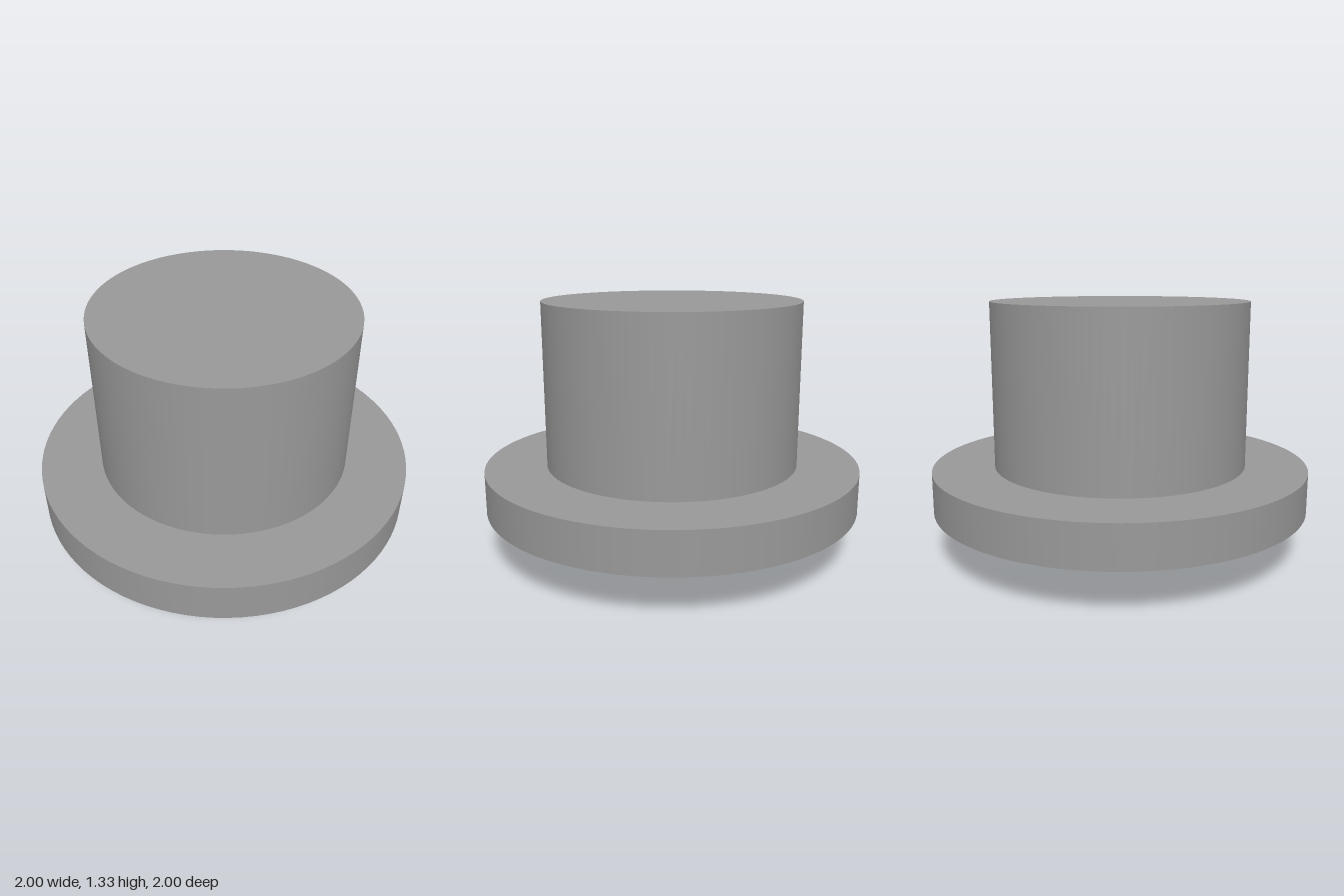
import * as THREE from 'three';

export function createModel() {
  const model = new THREE.Group();
  model.name = 'flangedPlug';

  const grey = new THREE.MeshStandardMaterial({ color: 0x999999 });
  grey.name = 'plain grey';

  // One solid disc of the turned part, between two heights
  const disc = (name, radius, bottom, top) => {
    const geometry = new THREE.CylinderGeometry(radius, radius, top - bottom, 96);
    const mesh = new THREE.Mesh(geometry, grey);
    mesh.name = name;
    mesh.position.y = (bottom + top) / 2;
    model.add(mesh);
  };

  disc('lowerSpigot', 0.405, 0, 0.245);
  disc('flange', 1, 0.245, 0.46);
  disc('upperBody', 0.675, 0.46, 1.326);

  return model;
}
